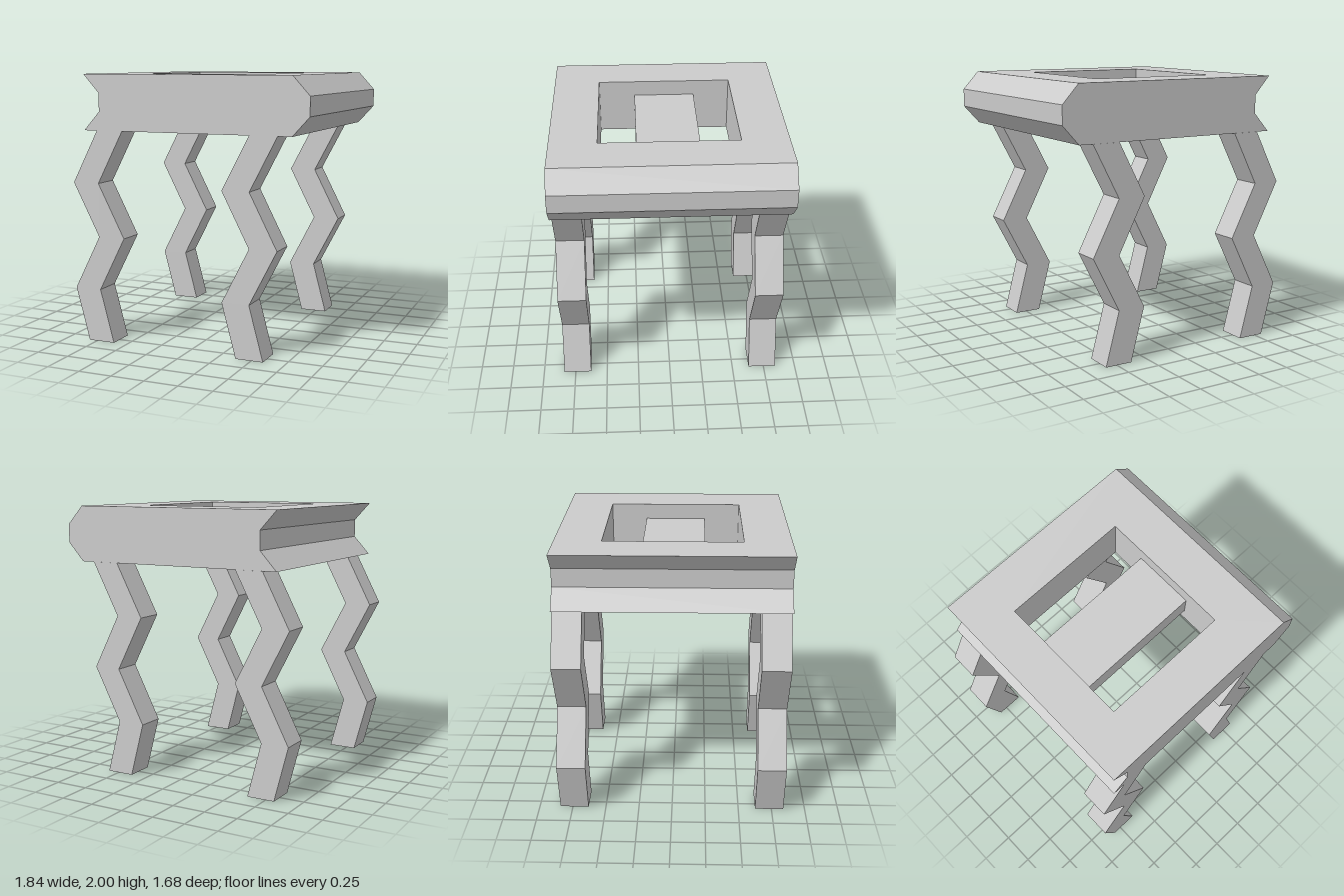
import * as THREE from 'three';

const material = new THREE.MeshStandardMaterial({ color: 0xcccccc, flatShading: true });

const SEAT_BOTTOM = 1.59, SEAT_TOP = 2;

function named(name, geometry) {
  const mesh = new THREE.Mesh(geometry, material);
  mesh.name = name;
  return mesh;
}

// Rectangular frame with a window; its two middle levels slide towards +x,
// which makes the ridge on one end and the groove on the other.
function seatGeometry() {
  const x0 = -0.82, x1 = 0.79, z = 0.84;
  const shape = new THREE.Shape([
    new THREE.Vector2(x0, -z), new THREE.Vector2(x1, -z),
    new THREE.Vector2(x1, z), new THREE.Vector2(x0, z),
  ]);
  shape.holes.push(new THREE.Path([
    new THREE.Vector2(-0.5, -0.5), new THREE.Vector2(-0.5, 0.5),
    new THREE.Vector2(0.46, 0.5), new THREE.Vector2(0.46, -0.5),
  ]));
  const depth = SEAT_TOP - SEAT_BOTTOM;
  const g = new THREE.ExtrudeGeometry(shape, { depth, steps: 3, bevelEnabled: false });
  g.rotateX(-Math.PI / 2);
  const p = g.attributes.position;
  for (let i = 0; i < p.count; i++) {
    const y = p.getY(i), x = p.getX(i);
    const middle = y > 0.05 && y < depth - 0.05;
    const outer = x < -0.7 || x > 0.7;
    if (middle && outer) p.setX(i, x + 0.125);
  }
  g.translate(0, SEAT_BOTTOM, 0);
  g.computeVertexNormals();
  return g;
}

// Zigzag leg: a centre line of [x, y] points given an even width in x.
function legGeometry() {
  const line = [[0.1, 0], [-0.007, 0.4], [0.2, 0.8], [-0.007, 1.2], [0.198, SEAT_BOTTOM]];
  const half = 0.104;
  const outline = [
    ...line.map(([x, y]) => new THREE.Vector2(x + half, y)),
    ...line.map(([x, y]) => new THREE.Vector2(x - half, y)).reverse(),
  ];
  const g = new THREE.ExtrudeGeometry(new THREE.Shape(outline), { depth: 0.212, bevelEnabled: false });
  return g.translate(0, 0, -0.106);
}

export function createModel() {
  const model = new THREE.Group();
  model.name = 'stool';

  model.add(named('seatFrame', seatGeometry()));

  // Recessed slat across the window
  const slat = named('seatSlat', new THREE.BoxGeometry(0.96, 0.18, 0.46));
  slat.position.set(-0.02, 1.795, 0);
  model.add(slat);

  // Four identical legs, all bending the same way
  const leg = legGeometry();
  for (const [side, x] of [['Right', -0.81], ['Left', 0.385]]) {
    for (const [end, z] of [['front', 0.733], ['back', -0.737]]) {
      const mesh = named(`${end}${side}Leg`, leg);
      mesh.position.set(x, 0, z);
      model.add(mesh);
    }
  }
  return model;
}
